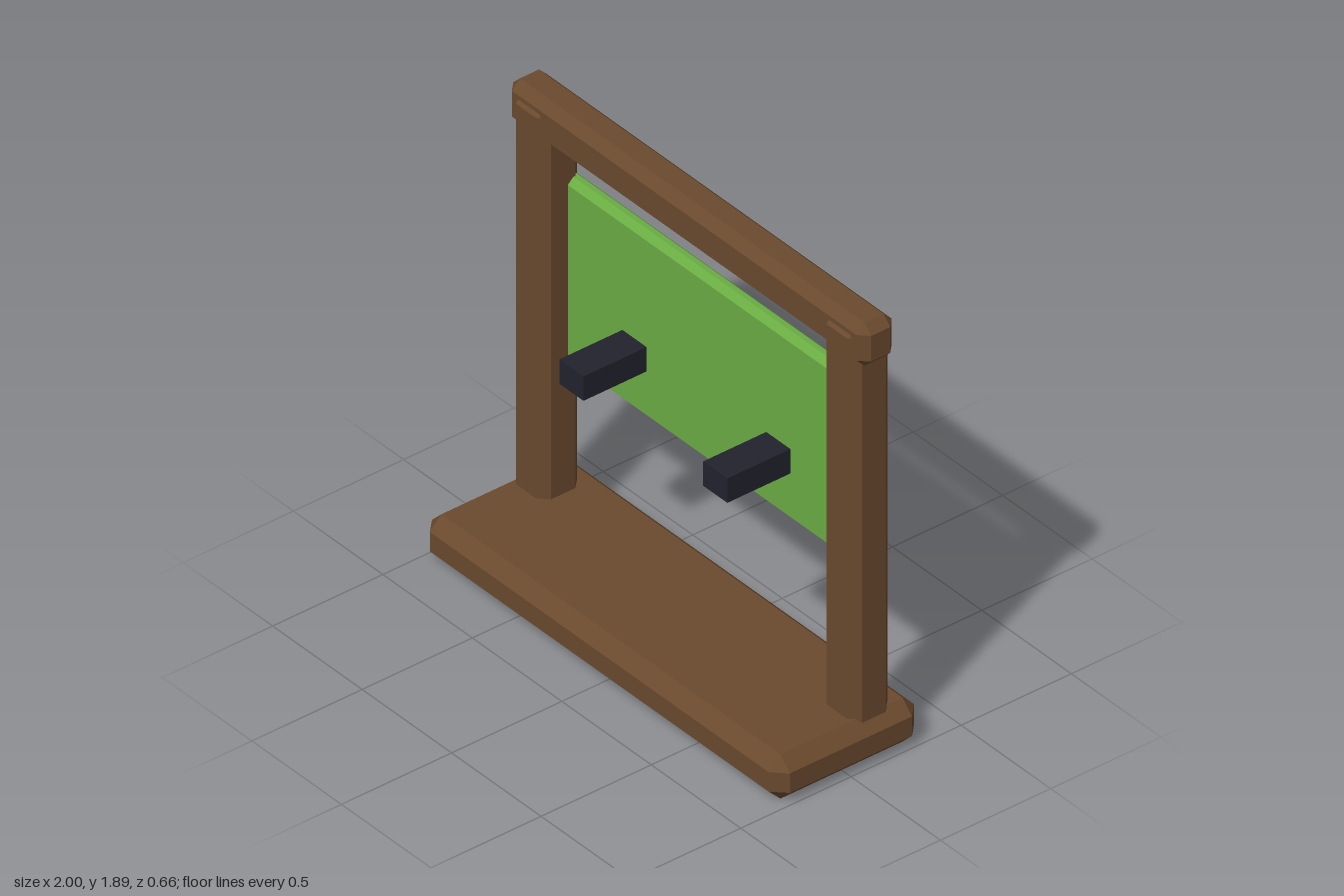
import * as THREE from 'three';
import { ConvexGeometry } from 'three/addons/geometries/ConvexGeometry.js';

// Box with every edge cut at 45 degrees
function chamferBox(w, h, d, c) {
  const points = [];
  for (const sx of [-1, 1]) for (const sy of [-1, 1]) for (const sz of [-1, 1]) {
    const x = sx * w / 2, y = sy * h / 2, z = sz * d / 2;
    points.push(
      new THREE.Vector3(x, y - sy * c, z - sz * c),
      new THREE.Vector3(x - sx * c, y, z - sz * c),
      new THREE.Vector3(x - sx * c, y - sy * c, z)
    );
  }
  return new ConvexGeometry(points);
}

export function createModel() {
  const wood = new THREE.MeshStandardMaterial({ color: 0x6b4a2e });
  wood.name = 'brown wood';
  const green = new THREE.MeshStandardMaterial({ color: 0x6aac43 });
  green.name = 'green panel';
  const dark = new THREE.MeshStandardMaterial({ color: 0x22222e });
  dark.name = 'dark peg';

  const model = new THREE.Group();
  model.name = 'boardStand';
  const add = (name, geometry, material, x, y, z) => {
    const mesh = new THREE.Mesh(geometry, material);
    mesh.name = name;
    mesh.position.set(x, y, z);
    model.add(mesh);
  };
  const frameZ = -0.135;

  // Plinth and top rail
  add('base', chamferBox(2, 0.19, 0.66, 0.053), wood, 0, 0.095, 0);
  add('topBeam', chamferBox(2, 0.185, 0.16, 0.037), wood, 0, 1.8025, frameZ);

  // Hanging board, set towards the back of the posts
  add('panel', chamferBox(1.69, 0.8, 0.072, 0.025), green, 0, 1.135, -0.192);

  // Posts and pegs, mirrored
  const post = chamferBox(0.188, 1.77, 0.184, 0.037);
  const peg = new THREE.BoxGeometry(0.135, 0.105, 0.31);
  for (const [side, s] of [['left', 1], ['right', -1]]) {
    add(side + 'Post', post, wood, s * 0.868, 0.98, frameZ);
    add(side + 'Peg', peg, dark, s * 0.402, 1.0, -0.025);
  }
  return model;
}
